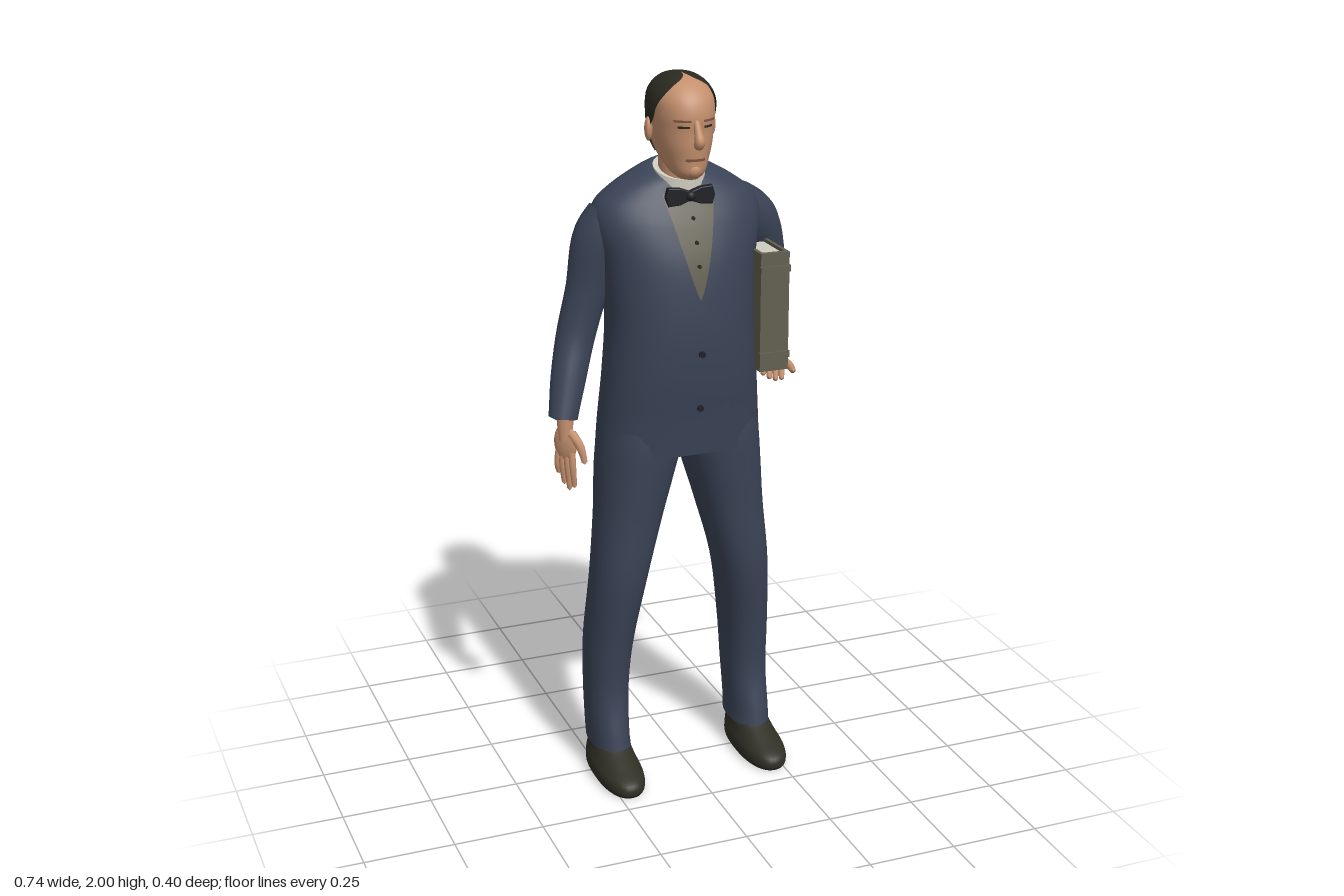
import * as THREE from 'three';

const mat = (name, color) => {
  const m = new THREE.MeshStandardMaterial({ color, side: THREE.DoubleSide });
  m.name = name;
  return m;
};

// Catmull-Rom blend of rows of numbers, t in 0..1
function blend(rows, t) {
  const f = t * (rows.length - 1), i = Math.min(Math.floor(f), rows.length - 2), u = f - i;
  const row = k => rows[Math.max(0, Math.min(rows.length - 1, k))];
  const [a, b, c, d] = [row(i - 1), row(i), row(i + 1), row(i + 2)];
  return b.map((_, k) => 0.5 * (2 * b[k] + (c[k] - a[k]) * u +
    (2 * a[k] - 5 * b[k] + 4 * c[k] - d[k]) * u * u + (3 * b[k] - a[k] - 3 * c[k] + d[k]) * u ** 3));
}

const power = (v, e) => Math.sign(v) * Math.abs(v) ** (2 / e);

// Stacked oval rings. Row: [y, centre x, half width, front z, back z, tilt, front opening angle]
function loft(rows, e = 2, open = false, steps = 48, n = 40) {
  const pos = [], idx = [], cols = open ? n + 1 : n;
  const ring = (t, flat) => {
    const [y, xc, rx, zf, zb, tilt = 0, gap = 0] = blend(rows, t);
    for (let j = 0; j < cols; j++) {
      const g = open ? Math.max(0, gap) : 0, a = g + (2 * Math.PI - 2 * g) * j / n;
      const z = flat ? (zf + zb) / 2 : (zf + zb) / 2 + (zf - zb) / 2 * power(Math.cos(a), e);
      pos.push(flat ? xc : xc + rx * power(Math.sin(a), e), y + tilt * z, z);
    }
  };
  const join = r => {
    for (let j = 0; j < n; j++) {
      const a = r * cols + j, b = r * cols + (open ? j + 1 : (j + 1) % n);
      idx.push(a, b, b + cols, a, b + cols, a + cols);
    }
  };
  for (let i = 0; i <= steps; i++) { ring(i / steps); if (i < steps) join(i); }
  if (!open) {
    ring(0, true); ring(0); join(steps + 1);
    ring(1); ring(1, true); join(steps + 3);
  }
  const g = new THREE.BufferGeometry();
  g.setAttribute('position', new THREE.Float32BufferAttribute(pos, 3));
  g.setIndex(idx);
  g.computeVertexNormals();
  return g;
}

// Front (side = 1) or back (side = -1) depth of a loft at x, y
function depth(rows, e, x, y, side = 1) {
  let z = 0;
  for (let k = 0; k < 4; k++) {
    let lo = 0, hi = 1, r;
    for (let i = 0; i < 22; i++) {
      r = blend(rows, (lo + hi) / 2);
      if (r[0] + (r[5] || 0) * z < y) lo = (lo + hi) / 2; else hi = (lo + hi) / 2;
    }
    const q = Math.min(1, Math.abs((x - r[1]) / r[2]));
    z = (r[3] + r[4]) / 2 + side * (r[3] - r[4]) / 2 * (1 - q ** e) ** (1 / e);
  }
  return z;
}

// Thin cloth or skin patch that follows a loft; edges are [left x, right x] as a function of 0..1
function patch(rows, e, y0, y1, edges, off = 0.005, side = 1) {
  const g = new THREE.PlaneGeometry(1, 1, 10, 12), p = g.attributes.position;
  for (let i = 0; i < p.count; i++) {
    const t = p.getY(i) + 0.5, [l, r] = edges(t);
    const x = l + (r - l) * (side > 0 ? p.getX(i) + 0.5 : 0.5 - p.getX(i)), y = y0 + (y1 - y0) * t;
    p.setXYZ(i, x, y, depth(rows, e, x, y, side) + off * side);
  }
  g.computeVertexNormals();
  return g;
}

// Round limb along points [x, y, z, radius], closed at both ends
function limb(pts, segs = 40, sides = 20) {
  const curve = new THREE.CatmullRomCurve3(pts.map(p => new THREE.Vector3(...p.slice(0, 3))));
  const g = new THREE.TubeGeometry(curve, segs, 1, sides), p = g.attributes.position, n = g.attributes.normal;
  for (let i = 0; i < p.count; i++) {
    const s = Math.floor(i / (sides + 1)), c = curve.getPointAt(s / segs);
    const r = s === 0 || s === segs ? 0 : blend(pts, curve.getUtoTmapping(s / segs))[3];
    p.setXYZ(i, c.x + n.getX(i) * r, c.y + n.getY(i) * r, c.z + n.getZ(i) * r);
  }
  return g;
}

const JACKET = [
  [0.945, 0, 0.235, 0.13, -0.175, 0.27], [1.06, 0, 0.226, 0.14, -0.175, 0.16],
  [1.2, 0, 0.213, 0.155, -0.166, 0.05], [1.35, 0, 0.203, 0.157, -0.17, 0],
  [1.5, 0, 0.215, 0.138, -0.181, 0], [1.6, 0, 0.235, 0.105, -0.175, 0],
  [1.66, 0, 0.222, 0.075, -0.155, 0], [1.70, 0, 0.17, 0.055, -0.125, -0.1],
  [1.73, 0, 0.105, 0.045, -0.09, -0.3], [1.742, 0, 0.072, 0.035, -0.07, -0.4]];
const HEAD = [
  [1.732, 0, 0.025, 0.095, 0.02], [1.75, 0, 0.045, 0.112, -0.015], [1.785, 0, 0.062, 0.116, -0.07],
  [1.82, 0, 0.073, 0.12, -0.094], [1.86, 0, 0.079, 0.121, -0.102], [1.9, 0, 0.082, 0.124, -0.104],
  [1.94, 0, 0.08, 0.112, -0.102], [1.972, 0, 0.062, 0.083, -0.08], [1.99, 0, 0.035, 0.045, -0.045],
  [1.996, 0, 0.004, 0.004, -0.004]];
const HAIR = [
  [1.785, 0, 0.066, 0.11, -0.078, 0, 2.2], [1.82, 0, 0.079, 0.125, -0.101, 0, 1.95],
  [1.86, 0, 0.086, 0.13, -0.109, 0, 1.6], [1.89, 0, 0.088, 0.13, -0.111, 0, 1.38],
  [1.92, 0, 0.088, 0.126, -0.111, 0, 1.25], [1.95, 0, 0.082, 0.112, -0.104, 0, 1.0],
  [1.976, 0, 0.065, 0.087, -0.083, 0, 0.7], [1.994, 0, 0.038, 0.05, -0.05, 0, 0.25],
  [2.0, 0, 0.003, 0.003, -0.003, 0, 0]];
const LEG = [
  [0.085, 0.215, 0.056, 0.085, -0.12], [0.13, 0.216, 0.056, 0.075, -0.125], [0.25, 0.213, 0.06, 0.05, -0.13],
  [0.4, 0.206, 0.066, 0.063, -0.13], [0.6, 0.183, 0.076, 0.097, -0.112], [0.78, 0.151, 0.092, 0.102, -0.128],
  [0.9, 0.13, 0.106, 0.11, -0.148], [0.99, 0.115, 0.114, 0.115, -0.15], [1.06, 0.11, 0.11, 0.11, -0.14]];
const SHOE = [
  [0, 0.218, 0.058, 0.195, -0.1], [0.015, 0.218, 0.065, 0.205, -0.11], [0.04, 0.218, 0.064, 0.195, -0.11],
  [0.065, 0.217, 0.056, 0.14, -0.108], [0.095, 0.216, 0.05, 0.075, -0.105], [0.12, 0.216, 0.045, 0.05, -0.1]];

export function createModel() {
  const root = new THREE.Group();
  root.name = 'suitedMan';
  const suit = mat('navy suit', 0x3a4356), skin = mat('skin', 0xc4906e), hair = mat('dark hair', 0x2b2a21),
    shirt = mat('white shirt', 0xcac7ba), vest = mat('olive waistcoat', 0x625f50), tie = mat('black tie', 0x1f2126),
    shoe = mat('shoe leather', 0x302f25), cover = mat('book cover', 0x626050), paper = mat('paper', 0xcfccc0),
    lip = mat('shaded skin', 0x84563f);
  const add = (name, g, m, parent = root) => {
    const mesh = new THREE.Mesh(g, m);
    mesh.name = name;
    parent.add(mesh);
    return mesh;
  };
  const box = (name, m, sx, sy, sz, x, y, z) =>
    add(name, new THREE.BoxGeometry(sx, sy, sz), m).position.set(x, y, z);

  // Jacket, waistcoat and lapels
  add('jacket', loft(JACKET, 2.3), suit);
  const opening = t => 0.072 * t ** 0.8;
  add('waistcoat', patch(JACKET, 2.3, 1.42, 1.69, t => [-opening(t), opening(t)]), vest);
  for (const s of [-1, 1]) {
    const strip = (a, b) => (s > 0 ? [a, b] : [-b, -a]);
    add('lapel', patch(JACKET, 2.3, 1.41, 1.62, t => strip(opening(t * 0.78), opening(t * 0.78) + 0.075 * t), 0.01), suit);
    add('jacketCollar', patch(JACKET, 2.3, 1.615, 1.7, t => strip(0.058 + 0.017 * t, 0.12 - 0.015 * t), 0.01), suit);
    add('pocketFlap', patch(JACKET, 2.3, 1.105, 1.145, () => strip(0.09, 0.175), 0.006), suit);
  }
  add('frontOverlap', patch(JACKET, 2.3, 0.99, 1.42, t => [-0.02 + 0.02 * t, 0.09], 0.004), suit);
  add('ventFlap', patch(JACKET, 2.3, 0.91, 1.12, () => [0, 0.07], 0.005, -1), suit);
  for (const [y, r, m] of [[1.275, 0.009, tie], [1.12, 0.009, tie], [1.63, 0.005, hair], [1.57, 0.005, hair], [1.51, 0.005, hair]]) {
    const b = add('button', new THREE.CylinderGeometry(r, r, 0.008, 12).rotateX(Math.PI / 2), m);
    b.position.set(0, y, depth(JACKET, 2.3, 0, y) + 0.007);
  }

  // Legs and shoes
  for (const s of [-1, 1]) {
    const mirror = rows => rows.map(([y, x, ...rest]) => [y, x * s, ...rest]);
    add('trouserLeg', loft(mirror(LEG), 2.2), suit);
    add('shoe', loft(mirror(SHOE), 2.3, false, 24), shoe);
  }

  // Sleeves
  add('rightSleeve', limb([[-0.17, 1.63, -0.05, 0.065], [-0.21, 1.56, -0.055, 0.07], [-0.24, 1.42, -0.07, 0.058],
    [-0.275, 1.29, -0.07, 0.053], [-0.306, 1.18, -0.045, 0.048], [-0.335, 1.065, -0.015, 0.039]]), suit);
  add('leftSleeve', limb([[0.17, 1.63, -0.06, 0.065], [0.24, 1.57, -0.08, 0.072], [0.298, 1.46, -0.125, 0.06],
    [0.322, 1.38, -0.145, 0.051], [0.32, 1.28, -0.115, 0.046], [0.308, 1.16, -0.07, 0.037]]), suit);

  // Hands: fingers along -y, thumb toward +z
  const hand = name => {
    const g = new THREE.Group();
    g.name = name;
    add('wrist', limb([[0, 0.04, 0, 0.024], [0, -0.01, 0, 0.022], [0, -0.06, 0, 0.018]], 14, 14), skin, g);
    const palm = add('palm', new THREE.SphereGeometry(1, 20, 14), skin, g);
    palm.scale.set(0.016, 0.055, 0.036);
    palm.position.y = -0.06;
    [0.155, 0.185, 0.2, 0.19].forEach((len, i) => {
      const z = -0.025 + i * 0.0165;
      add('finger', limb([[0, -0.07, z * 0.8, 0.01], [-0.003, -0.125, z, 0.0095], [0.005, -len, z, 0.007]], 14, 10), skin, g);
    });
    add('thumb', limb([[0, -0.025, 0.015, 0.014], [0.004, -0.065, 0.045, 0.012], [0.008, -0.115, 0.058, 0.008]], 14, 10), skin, g);
    root.add(g);
    return g;
  };
  const right = hand('rightHand');
  right.position.set(-0.328, 1.07, -0.012);
  right.rotation.y = 0.65;
  const left = hand('leftHand');
  left.position.set(0.307, 1.165, -0.07);
  left.quaternion.setFromRotationMatrix(new THREE.Matrix4().makeBasis(
    new THREE.Vector3(0, -1, 0), new THREE.Vector3(0.4, 0, -0.917), new THREE.Vector3(0.917, 0, 0.4)));

  // Book held under the left arm, spine forward
  for (const x of [0.19, 0.263]) box('bookCover', cover, 0.01, 0.33, 0.285, x, 1.355, -0.025);
  box('bookSpine', cover, 0.083, 0.33, 0.014, 0.2265, 1.355, 0.115);
  for (const y of [1.235, 1.475]) box('spineBand', cover, 0.087, 0.018, 0.012, 0.2265, y, 0.122);
  box('pages', paper, 0.064, 0.312, 0.255, 0.2265, 1.355, -0.02);

  // Neck, shirt collar and bow tie
  add('neck', loft([[1.64, 0, 0.06, 0.04, -0.07], [1.72, 0, 0.056, 0.055, -0.065], [1.8, 0, 0.056, 0.06, -0.065]]), skin);
  add('shirtCollar', loft([[1.67, 0, 0.078, 0.062, -0.075, -0.2], [1.71, 0, 0.075, 0.06, -0.074, -0.3],
    [1.745, 0, 0.07, 0.058, -0.071, -0.35]]), shirt);
  const bow = new THREE.Shape([[0, 0.009], [0.03, 0.02], [0.06, 0.022], [0.066, 0], [0.06, -0.022], [0.03, -0.02],
    [0, -0.009], [-0.03, -0.02], [-0.06, -0.022], [-0.066, 0], [-0.06, 0.022], [-0.03, 0.02]].map(p => new THREE.Vector2(...p)));
  add('bowTie', new THREE.ExtrudeGeometry(bow, { depth: 0.012, bevelSize: 0.003, bevelThickness: 0.004, bevelSegments: 2 }), tie)
    .position.set(0, 1.685, 0.066);
  const knot = add('tieKnot', new THREE.SphereGeometry(0.014, 14, 10), tie);
  knot.position.set(0, 1.685, 0.078);

  // Head, hair and face
  add('head', loft(HEAD, 2.15), skin);
  add('hair', loft(HAIR, 2.15, true), hair);
  add('nose', limb([[0, 1.893, 0.116, 0.008], [0, 1.862, 0.132, 0.011], [0, 1.838, 0.142, 0.014], [0, 1.826, 0.13, 0.013]], 20, 14), skin);
  add('mouth', patch(HEAD, 2.15, 1.784, 1.791, () => [-0.027, 0.027], 0.003), lip);
  add('chin', new THREE.SphereGeometry(0.024, 16, 12), skin).position.set(0, 1.759, 0.094);
  for (const s of [-1, 1]) {
    const span = (a, b) => (s > 0 ? [a, b] : [-b, -a]);
    add('eyebrow', patch(HEAD, 2.15, 1.888, 1.894, () => span(0.017, 0.056), 0.004), lip);
    add('eye', patch(HEAD, 2.15, 1.872, 1.878, () => span(0.02, 0.048), 0.003), hair);
    const ear = add('ear', new THREE.SphereGeometry(1, 16, 12), skin);
    ear.scale.set(0.011, 0.032, 0.019);
    ear.position.set(s * 0.087, 1.855, -0.002);
    ear.rotation.y = s * 0.3;
  }
  return root;
}
